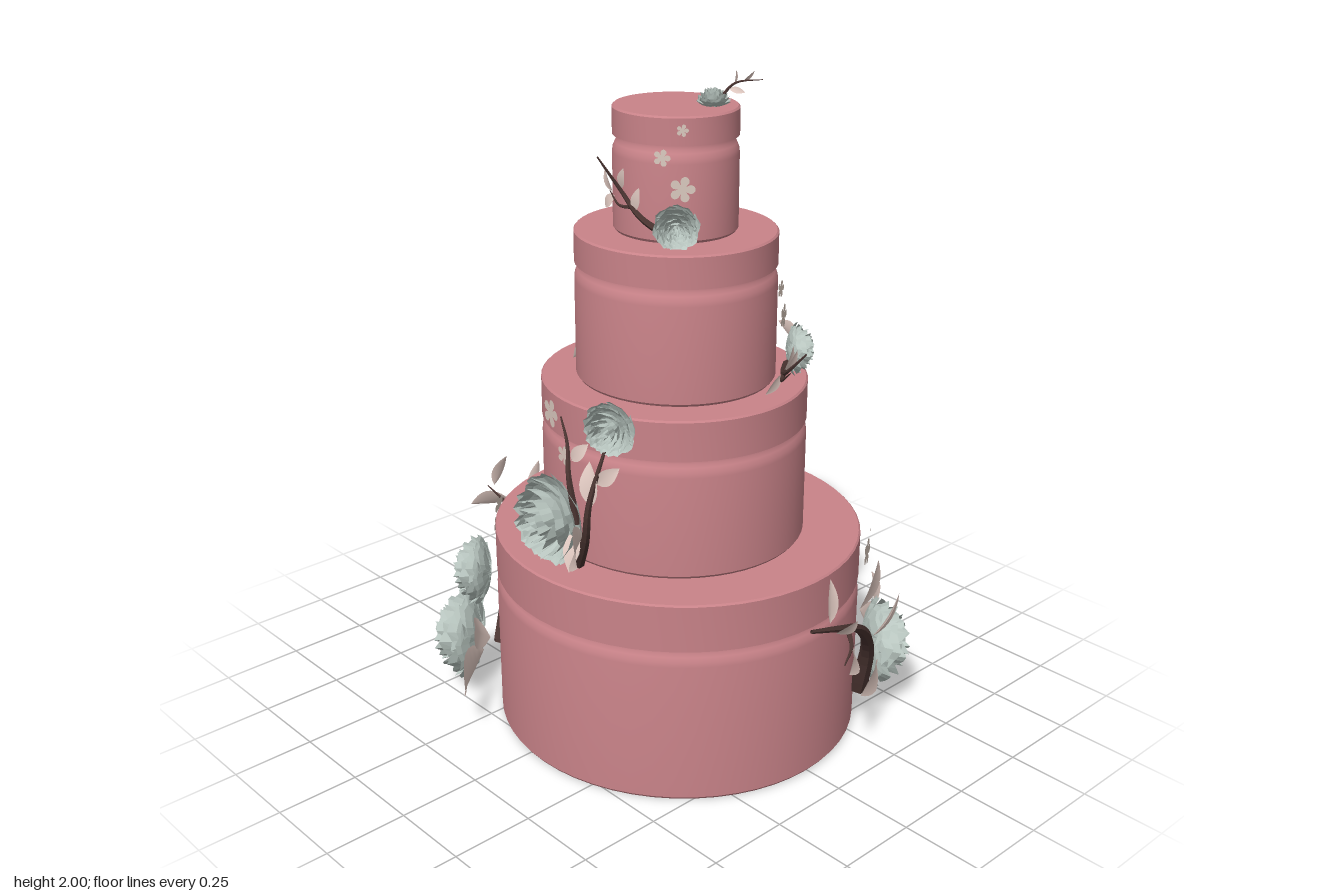
import * as THREE from 'three';
import { toCreasedNormals, mergeGeometries } from 'three/addons/utils/BufferGeometryUtils.js';

const mat = (color, flatShading = false) =>
  new THREE.MeshStandardMaterial({ color, flatShading, side: THREE.DoubleSide });
const ICING = mat(0xc98389), ROSE = mat(0xb9c6c0, true), LEAF = mat(0xe2cbc3),
  BARK = mat(0x4a3431, true), BLOSSOM = mat(0xdccbc0);
const CX = 0.067, CZ = 0.008;
const V = (p) => new THREE.Vector3(...p);
const outward = (p) => new THREE.Vector3(p.x - CX, 0, p.z - CZ).normalize();

function add(parent, name, geometry, material) {
  const mesh = new THREE.Mesh(geometry, material);
  mesh.name = name;
  parent.add(mesh);
  return mesh;
}

// Round tier: body necked in under an overhanging lid
function tier(r, y0, lidY, y1) {
  const n = r - 0.014;
  const pts = [[0, y0], [r - 0.006, y0], [r, y0 + 0.008], [r, lidY - 0.05], [r - 0.002, lidY - 0.036],
    [r - 0.008, lidY - 0.022], [n, lidY - 0.012], [n, lidY], [r, lidY], [r, y1 - 0.005],
    [r - 0.005, y1], [0, y1]].map(([x, y]) => new THREE.Vector2(x, y));
  const g = new THREE.LatheGeometry(pts, 56);
  g.scale(1, 1, 0.967);
  return toCreasedNormals(g, 0.6);
}

// Cupped, ruffled petals in nested rings, opening along +z
function roseGeometry() {
  const parts = [];
  // petals, outer radius, rim height, turn
  const rings = [[6, 1.02, 0.22, 0], [6, 0.92, 0.45, 0.5], [5, 0.75, 0.66, 0.2],
    [5, 0.56, 0.8, 0.8], [4, 0.37, 0.88, 0.3], [3, 0.19, 0.92, 1.1]];
  rings.forEach(([count, radius, height, turn], k) => {
    for (let i = 0; i < count; i++) {
      const g = new THREE.PlaneGeometry(2, 1, 6, 4);
      const p = g.attributes.position;
      const a0 = turn + (i / count) * Math.PI * 2, half = (Math.PI / count) * 1.35;
      for (let j = 0; j < p.count; j++) {
        const u = p.getX(j), v = p.getY(j) + 0.5;
        const ruffle = 0.05 * Math.sin(u * 7 + i * 2.1 + k) * v * v;
        const open = v * (1 - 0.22 * u ** 4);
        const rad = radius * Math.sin(open * Math.PI / 2) * (1 + 0.06 * u) + ruffle;
        const a = a0 + u * half * (0.55 + 0.45 * v);
        const z = -0.2 + (height + 0.2) * open ** 1.7 - (v > 0.9 ? 0.07 : 0) + ruffle + 0.03 * u;
        p.setXYZ(j, rad * Math.cos(a), rad * Math.sin(a), z);
      }
      g.computeVertexNormals();
      parts.push(g);
    }
  });
  return mergeGeometries(parts);
}

// Flat five-petalled blossom of unit radius
function blossomGeometry() {
  const pts = [];
  for (let i = 0; i < 50; i++) {
    const a = (i / 50) * Math.PI * 2;
    const r = 0.35 + 0.65 * Math.sqrt(Math.abs(Math.cos(2.5 * a)));
    pts.push(new THREE.Vector2(r * Math.cos(a), r * Math.sin(a)));
  }
  return new THREE.ShapeGeometry(new THREE.Shape(pts));
}

// Pointed leaf from base to tip, folded along its midrib
function leafGeometry(base, tip, width) {
  const g = new THREE.PlaneGeometry(2, 1, 2, 8);
  const along = tip.clone().sub(base), mid = base.clone().add(tip).multiplyScalar(0.5);
  const out = outward(mid);
  const side = new THREE.Vector3().crossVectors(along, out).normalize();
  const face = new THREE.Vector3().crossVectors(side, along).normalize();
  const p = g.attributes.position, q = new THREE.Vector3();
  for (let j = 0; j < p.count; j++) {
    const u = p.getX(j), v = p.getY(j) + 0.5;
    const w = 0.5 * width * Math.sin(Math.PI * v ** 0.85) ** 0.9 || 0;
    q.copy(base).addScaledVector(along, v).addScaledVector(side, u * w)
      .addScaledVector(face, 0.25 * Math.abs(u) * w + 0.1 * width * Math.sin(Math.PI * v));
    p.setXYZ(j, q.x, q.y, q.z);
  }
  g.computeVertexNormals();
  return g;
}

// Twig that tapers to its end
function branchGeometry(points, radius) {
  const curve = new THREE.CatmullRomCurve3(points.map(V));
  const g = new THREE.TubeGeometry(curve, 16, radius, 6);
  const p = g.attributes.position, t = g.attributes.uv, q = new THREE.Vector3();
  for (let j = 0; j < p.count; j++) {
    const c = curve.getPointAt(t.getX(j));
    q.fromBufferAttribute(p, j).sub(c).multiplyScalar(1 - 0.8 * t.getX(j)).add(c);
    p.setXYZ(j, q.x, q.y, q.z);
  }
  return g;
}

// Sprays: roses [position, radius, facing?], branches [radius, points], leaves [base, tip, width], blossoms [position, radius]
const SPRAYS = {
  lowerLeftSpray: {
    roses: [[[-0.42, 0.19, 0.43], 0.14], [[-0.34, 0.45, 0.44], 0.105]],
    branches: [[0.022, [[-0.42, 0.12, 0.33], [-0.53, 0.26, 0.2], [-0.61, 0.42, 0.05], [-0.67, 0.47, -0.1], [-0.66, 0.5, -0.28]]],
      [0.009, [[-0.6, 0.4, 0.07], [-0.68, 0.46, 0.1], [-0.74, 0.5, 0.12]]]],
    leaves: [[[-0.68, 0.46, 0.08], [-0.8, 0.42, 0.15], 0.075], [[-0.73, 0.5, 0.1], [-0.71, 0.6, 0.06], 0.05],
      [[-0.59, 0.48, 0.05], [-0.61, 0.6, 0.0], 0.05], [[-0.33, 0.18, 0.46], [-0.19, 0.15, 0.635], 0.13],
      [[-0.32, 0.22, 0.44], [-0.26, 0.32, 0.54], 0.1], [[-0.58, 0.3, 0.12], [-0.53, 0.42, 0.18], 0.05]],
    blossoms: [[[-0.41, 0.6, 0.31], 0.035], [[-0.36, 0.57, 0.36], 0.03], [[-0.43, 0.53, 0.3], 0.035]],
  },
  lowerRightSpray: {
    roses: [[[0.5, 0.22, -0.42], 0.135]],
    branches: [[0.028, [[0.55, 0.12, -0.31], [0.61, 0.3, -0.27], [0.67, 0.43, -0.16], [0.71, 0.5, -0.03], [0.71, 0.54, 0.1]]],
      [0.009, [[0.69, 0.47, -0.08], [0.73, 0.44, -0.05], [0.75, 0.41, 0]]]],
    leaves: [[[0.46, 0.2, -0.46], [0.27, 0.15, -0.64], 0.14], [[0.46, 0.27, -0.46], [0.36, 0.35, -0.58], 0.1],
      [[0.59, 0.22, -0.34], [0.65, 0.18, -0.2], 0.1], [[0.67, 0.5, -0.15], [0.69, 0.65, -0.2], 0.075],
      [[0.62, 0.34, -0.28], [0.64, 0.46, -0.37], 0.075], [[0.71, 0.41, -0.08], [0.76, 0.38, -0.01], 0.08],
      [[0.74, 0.52, 0.03], [0.79, 0.57, 0.0], 0.05], [[0.69, 0.52, 0.0], [0.65, 0.63, -0.04], 0.05]],
    blossoms: [[[0.58, 0.61, -0.27], 0.042], [[0.51, 0.6, -0.365], 0.032]],
  },
  frontSpray: {
    roses: [[[0.045, 0.77, 0.45], 0.13], [[0.225, 1.085, 0.4], 0.075]],
    branches: [[0.017, [[0.11, 0.64, 0.43], [0.19, 0.76, 0.47], [0.22, 0.88, 0.48], [0.225, 1.06, 0.41]]],
      [0.013, [[0.13, 0.78, 0.45], [0.11, 0.92, 0.46], [0.07, 1.0, 0.43], [0.02, 1.06, 0.41]]]],
    leaves: [[[0.18, 0.77, 0.47], [0.31, 0.76, 0.6], 0.12], [[0.14, 0.77, 0.45], [0.15, 0.65, 0.5], 0.06],
      [[0.22, 0.87, 0.47], [0.19, 0.99, 0.45], 0.06], [[0.22, 0.93, 0.45], [0.28, 0.99, 0.42], 0.045],
      [[0.1, 0.96, 0.44], [0.15, 1.02, 0.42], 0.04]],
    blossoms: [[[-0.02, 1.06, 0.405], 0.042], [[-0.04, 0.67, 0.41], 0.04], [[0.04, 0.95, 0.41], 0.03]],
  },
  upperLeftSpray: {
    roses: [[[-0.25, 1.19, -0.02], 0.075], [[-0.235, 1.3, -0.02], 0.05]],
    branches: [[0.011, [[-0.25, 1.2, -0.05], [-0.285, 1.32, -0.08], [-0.275, 1.4, -0.1], [-0.24, 1.48, -0.11]]],
      [0.008, [[-0.24, 1.2, 0.02], [-0.27, 1.25, 0.06], [-0.24, 1.3, 0.12]]]],
    leaves: [[[-0.28, 1.36, -0.09], [-0.37, 1.39, -0.12], 0.05], [[-0.28, 1.41, -0.1], [-0.3, 1.5, -0.12], 0.04],
      [[-0.25, 1.16, 0.04], [-0.2, 1.12, 0.18], 0.06], [[-0.27, 1.29, -0.07], [-0.33, 1.26, -0.11], 0.045]],
    blossoms: [[[-0.22, 1.38, 0.06], 0.03], [[-0.215, 1.45, 0.03], 0.022]],
  },
  upperRightSpray: {
    roses: [[[0.32, 1.19, -0.21], 0.075]],
    branches: [[0.012, [[0.34, 1.16, -0.17], [0.4, 1.17, -0.09], [0.46, 1.2, -0.04], [0.53, 1.27, -0.04]]],
      [0.007, [[0.43, 1.18, -0.06], [0.46, 1.18, -0.02], [0.51, 1.22, 0.0]]]],
    leaves: [[[0.45, 1.19, -0.04], [0.47, 1.26, -0.07], 0.035], [[0.39, 1.16, -0.1], [0.4, 1.24, -0.13], 0.04],
      [[0.31, 1.21, -0.24], [0.2, 1.23, -0.28], 0.05], [[0.41, 1.17, -0.07], [0.4, 1.12, -0.02], 0.035]],
    blossoms: [[[0.335, 1.31, -0.145], 0.035], [[0.35, 1.4, -0.115], 0.025]],
  },
  topTierSpray: {
    roses: [[[0.22, 1.6, 0.155], 0.062]],
    branches: [[0.011, [[0.2, 1.58, 0.18], [0.12, 1.62, 0.2], [0.06, 1.68, 0.21], [0.03, 1.78, 0.27]]],
      [0.006, [[0.09, 1.64, 0.2], [0.05, 1.64, 0.21], [0.0, 1.67, 0.2]]]],
    leaves: [[[0.02, 1.66, 0.2], [-0.02, 1.62, 0.2], 0.035], [[0.01, 1.67, 0.2], [-0.02, 1.73, 0.2], 0.035],
      [[0.06, 1.69, 0.21], [0.08, 1.75, 0.22], 0.03], [[0.1, 1.63, 0.2], [0.12, 1.7, 0.2], 0.03]],
    blossoms: [[[0.21, 1.7, 0.125], 0.036], [[0.17, 1.785, 0.16], 0.024], [[0.21, 1.86, 0.125], 0.017]],
  },
  topperSpray: {
    roses: [[[0.19, 1.912, -0.01], 0.046, [0, 1, 0]]],
    branches: [[0.005, [[0.2, 1.92, -0.02], [0.23, 1.965, -0.05], [0.3, 1.98, -0.085]]]],
    leaves: [[[0.22, 1.95, -0.04], [0.25, 1.94, -0.07], 0.018], [[0.23, 1.965, -0.05], [0.225, 2.0, -0.06], 0.016],
      [[0.25, 1.97, -0.06], [0.265, 1.998, -0.09], 0.016]],
    blossoms: [],
  },
};

export function createModel() {
  const model = new THREE.Group();
  model.name = 'tieredCake';

  // Tiers: radius, bottom, lid edge, top, centre z
  [[0.563, 0, 0.485, 0.63, 0.004], [0.397, 0.63, 0.99, 1.11, 0.018],
    [0.297, 1.11, 1.45, 1.545, 0.012], [0.181, 1.545, 1.815, 1.895, 0.014]].forEach(([r, a, b, c, z], i) => {
    add(model, `tier${i + 1}`, tier(r, a, b, c), ICING).position.set(CX, 0, z);
  });

  // Flower sprays
  const rose = roseGeometry(), blossom = blossomGeometry();
  for (const [name, s] of Object.entries(SPRAYS)) {
    const spray = new THREE.Group();
    spray.name = name;
    const place = (label, geo, material, at, size, facing) => {
      const m = add(spray, label, geo, material);
      m.position.copy(V(at));
      m.lookAt(m.position.clone().add(facing));
      m.scale.setScalar(size);
    };
    for (const [at, size, facing] of s.roses)
      place('rose', rose, ROSE, at, size, facing ? V(facing) : outward(V(at)));
    for (const [at, size] of s.blossoms) {
      const out = outward(V(at));
      place('blossom', blossom, BLOSSOM, V(at).addScaledVector(out, 0.008).toArray(), size, out);
    }
    for (const [radius, pts] of s.branches) add(spray, 'branch', branchGeometry(pts, radius), BARK);
    for (const [base, tip, w] of s.leaves) add(spray, 'leaf', leafGeometry(V(base), V(tip), w), LEAF);
    model.add(spray);
  }
  return model;
}
